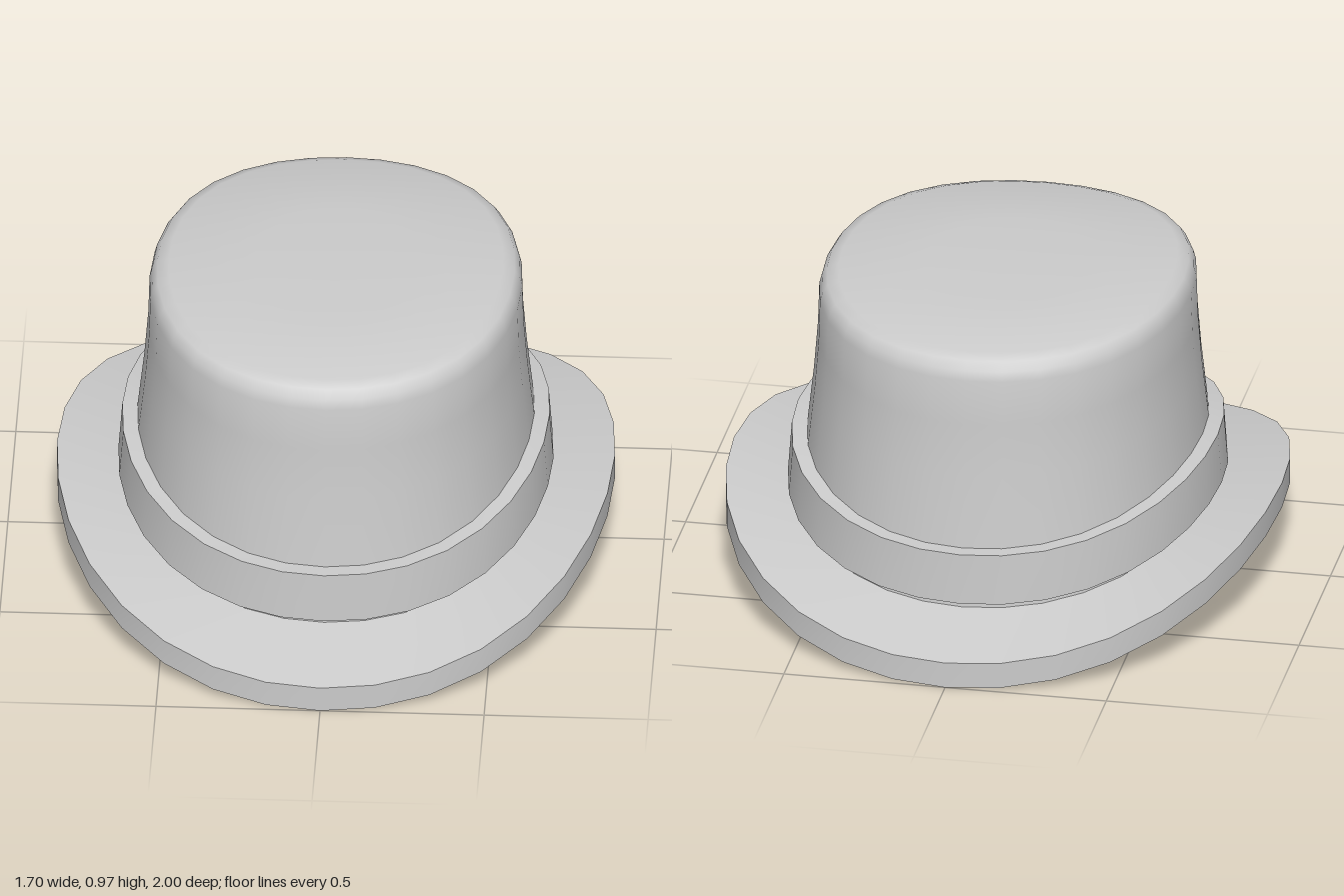
import * as THREE from 'three';
import { toCreasedNormals } from 'three/addons/utils/BufferGeometryUtils.js';

const SEGMENTS = 32;
const BULGE = 0.028; // fullness of the oval outline at the diagonals

// Skin oval rings [rx, rz, y at the sides, drop at front and back].
function ringSurface(rings) {
  const positions = [];
  const index = [];
  rings.forEach(([rx, rz, y, drop], r) => {
    for (let i = 0; i < SEGMENTS; i++) {
      const t = (i / SEGMENTS) * Math.PI * 2;
      const swell = 1 + BULGE * Math.sin(2 * t) ** 2;
      const s = Math.sin(t) * swell;
      const c = Math.cos(t) * swell;
      positions.push(rx * s, y - drop * c * c, rz * c);
      if (r === 0) continue;
      const next = (i + 1) % SEGMENTS;
      const a = (r - 1) * SEGMENTS + i;
      const b = (r - 1) * SEGMENTS + next;
      const d = r * SEGMENTS + i;
      const e = r * SEGMENTS + next;
      if (rings[r - 1][0] > 0) index.push(a, b, e);
      if (rx > 0) index.push(a, e, d);
    }
  });
  const geometry = new THREE.BufferGeometry();
  geometry.setAttribute('position', new THREE.Float32BufferAttribute(positions, 3));
  geometry.setIndex(index);
  return toCreasedNormals(geometry, 0.7);
}

export function createModel() {
  const hat = new THREE.Group();
  hat.name = 'hat';
  const material = new THREE.MeshStandardMaterial({ color: 0xcccccc });
  const add = (name, rings) => {
    const mesh = new THREE.Mesh(ringSurface(rings), material);
    mesh.name = name;
    hat.add(mesh);
  };

  // Crown: tapering wall, rounded shoulder and gently arched top
  add('crown', [
    [0.625, 0.735, 0.252, 0.104],
    [0.605, 0.715, 0.44, 0.1],
    [0.584, 0.69, 0.63, 0.065],
    [0.572, 0.678, 0.78, 0.045],
    [0.568, 0.673, 0.91, 0.03],
    [0.56, 0.665, 0.94, 0.03],
    [0.545, 0.645, 0.963, 0.027],
    [0.51, 0.61, 0.974, 0.024],
    [0.25, 0.3, 0.974, 0.006],
    [0, 0, 0.974, 0],
  ]);

  // Hollow inside of the crown, down to the head opening
  add('crownInside', [
    [0, 0, 0.895, 0],
    [0.46, 0.56, 0.895, 0.022],
    [0.487, 0.592, 0.865, 0.03],
    [0.492, 0.598, 0.78, 0.045],
    [0.504, 0.61, 0.63, 0.065],
    [0.525, 0.635, 0.42, 0.1],
    [0.557, 0.665, 0.172, 0.1],
  ]);

  // Brim: underside, rim and upper face, curled up at the sides
  add('brim', [
    [0.557, 0.665, 0.172, 0.1],
    [0.85, 1, 0.218, 0.218],
    [0.85, 1, 0.3, 0.218],
    [0.625, 0.735, 0.252, 0.104],
  ]);

  // Raised band around the crown
  add('band', [
    [0.6, 0.71, 0.27, 0.108],
    [0.663, 0.77, 0.285, 0.11],
    [0.651, 0.765, 0.445, 0.108],
    [0.6, 0.71, 0.445, 0.108],
  ]);

  return hat;
}
